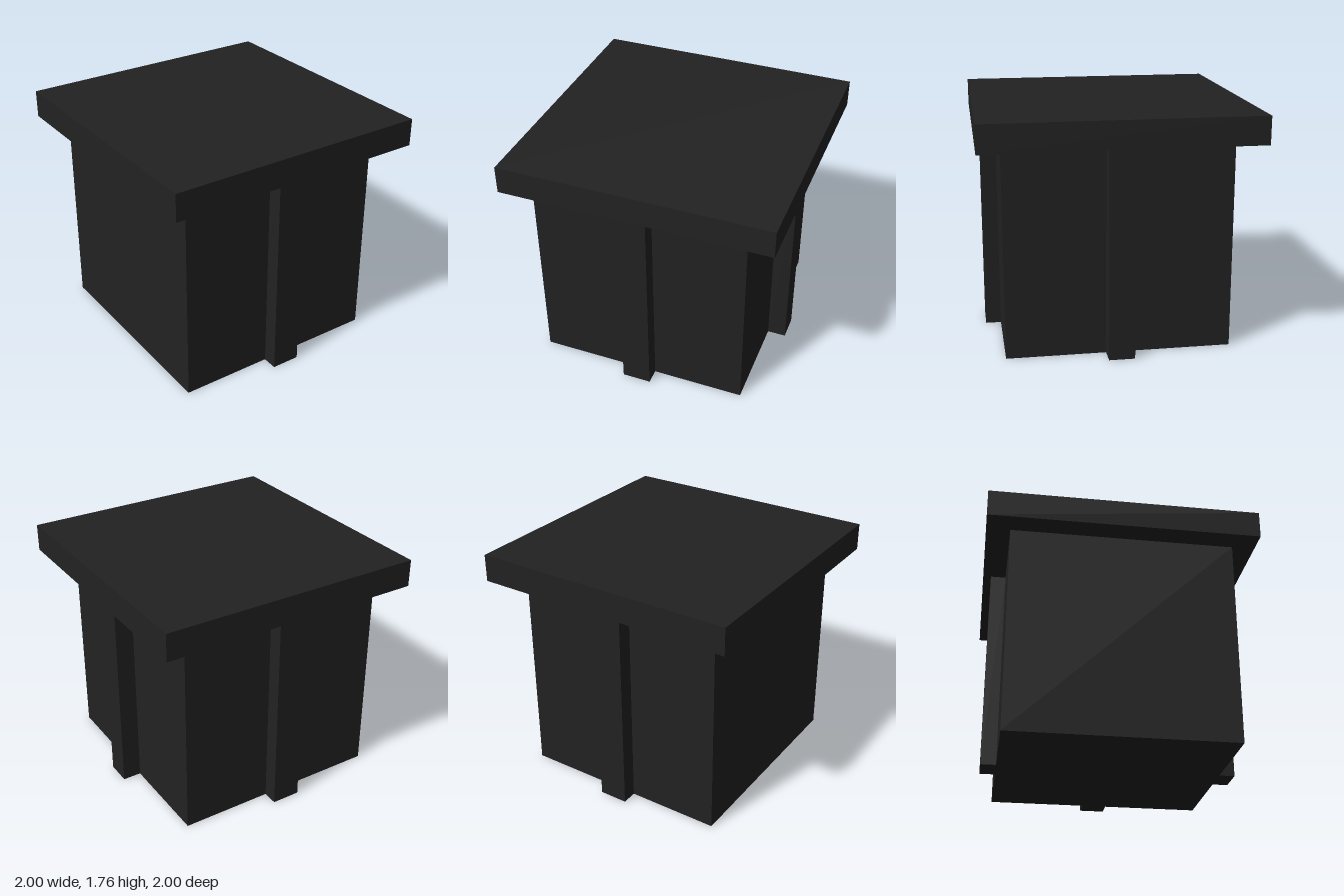
import * as THREE from 'three';

export function createModel() {
  const model = new THREE.Group();
  const charcoal = new THREE.MeshStandardMaterial({ color: 0x222222 });
  charcoal.name = 'charcoal';

  // Box given by its minimum and maximum corners
  function box(name, [x0, y0, z0], [x1, y1, z1]) {
    const mesh = new THREE.Mesh(new THREE.BoxGeometry(x1 - x0, y1 - y0, z1 - z0), charcoal);
    mesh.name = name;
    mesh.position.set((x0 + x1) / 2, (y0 + y1) / 2, (z0 + z1) / 2);
    model.add(mesh);
  }

  const bodyTop = 1.56;

  // Main block and overhanging slab
  box('body', [-0.825, 0, -0.825], [0.77, bodyTop, 0.83]);
  box('topSlab', [-1, bodyTop, -1], [1, 1.765, 1]);

  // Upright ribs on the front, back and left faces; the right face is plain
  box('frontRib', [-0.135, 0, 0.83], [0.08, bodyTop, 0.945]);
  box('backRib', [-0.135, 0, -0.94], [0.08, bodyTop, -0.825]);
  box('leftRib', [0.77, 0, -0.09], [0.91, bodyTop, 0.1]);

  return model;
}
